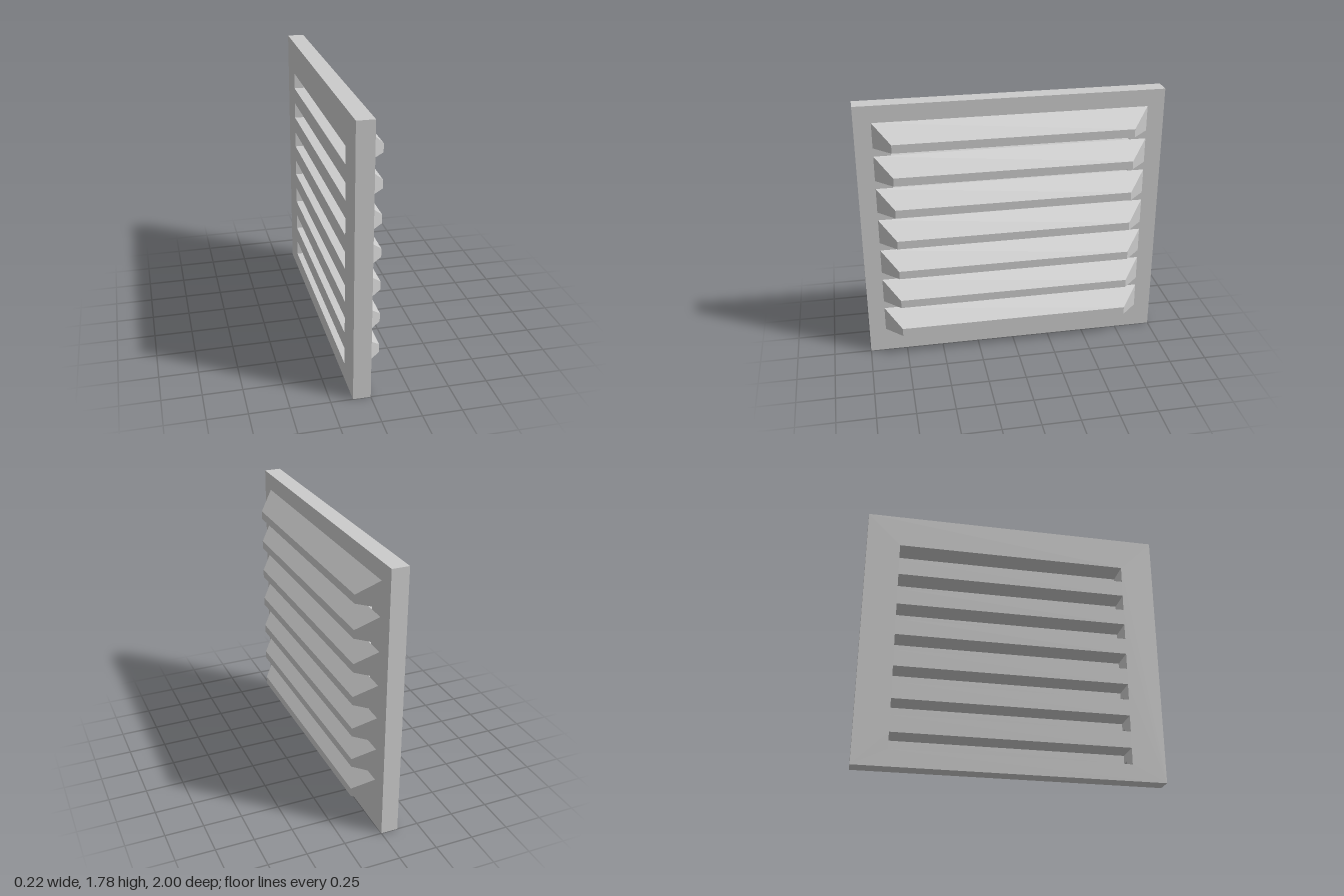
import * as THREE from 'three';

const U = 1 / 9; // module: panel thickness and hood depth
const PITCH = 2 * U;
const COUNT = 7;
const HALF_SLOT = 7 * U;
const HALF_HOOD = 8 * U;

const material = new THREE.MeshStandardMaterial({
  color: 0xcccccc, flatShading: true, side: THREE.DoubleSide,
});

function makeMesh(geometry, name) {
  const mesh = new THREE.Mesh(geometry, material);
  mesh.name = name;
  return mesh;
}

function polygon(points) {
  return new THREE.Shape(points.map(([x, y]) => new THREE.Vector2(x, y)));
}

// Flat plate with a row of horizontal slots, extruded along x
function panelGeometry() {
  const shape = polygon([[-1, 0], [1, 0], [1, 16 * U], [-1, 16 * U]]);
  for (let i = 0; i < COUNT; i++) {
    const y = U + i * PITCH;
    shape.holes.push(polygon([
      [-HALF_SLOT, y], [-HALF_SLOT, y + U], [HALF_SLOT, y + U], [HALF_SLOT, y],
    ]));
  }
  const g = new THREE.ExtrudeGeometry(shape, { depth: U, bevelEnabled: false });
  return g.rotateY(Math.PI / 2).translate(-U, 0, 0);
}

// Sloping roof: a box whose front edge drops and draws in at both ends
function roofGeometry() {
  const g = new THREE.BoxGeometry(U, U, 2 * HALF_HOOD).translate(U / 2, U / 2, 0);
  const p = g.attributes.position;
  for (let i = 0; i < p.count; i++) {
    if (p.getX(i) > U / 2) {
      p.setY(i, 0);
      p.setZ(i, Math.sign(p.getZ(i)) * HALF_SLOT);
    }
  }
  g.computeVertexNormals();
  return g;
}

// Vertical lip with mitred ends, open towards the slot behind it
function lipGeometry() {
  const inner = U / 2;
  const shape = polygon([
    [0, -HALF_HOOD], [U, -HALF_SLOT], [U, HALF_SLOT], [0, HALF_HOOD],
    [0, HALF_SLOT], [inner, HALF_SLOT], [inner, -HALF_SLOT], [0, -HALF_SLOT],
  ]);
  const g = new THREE.ExtrudeGeometry(shape, { depth: U / 2, bevelEnabled: false });
  return g.rotateX(Math.PI / 2);
}

export function createModel() {
  const group = new THREE.Group();
  group.name = 'louvredVent';
  group.add(makeMesh(panelGeometry(), 'slottedPanel'));

  // One hood over the upper half of every slot
  const roof = roofGeometry();
  const lip = lipGeometry();
  for (let i = 0; i < COUNT; i++) {
    const hood = new THREE.Group();
    hood.name = `louvre${i + 1}`;
    hood.add(makeMesh(roof, 'louvreRoof'), makeMesh(lip, 'louvreLip'));
    hood.position.y = 2 * U + i * PITCH;
    group.add(hood);
  }
  return group;
}
